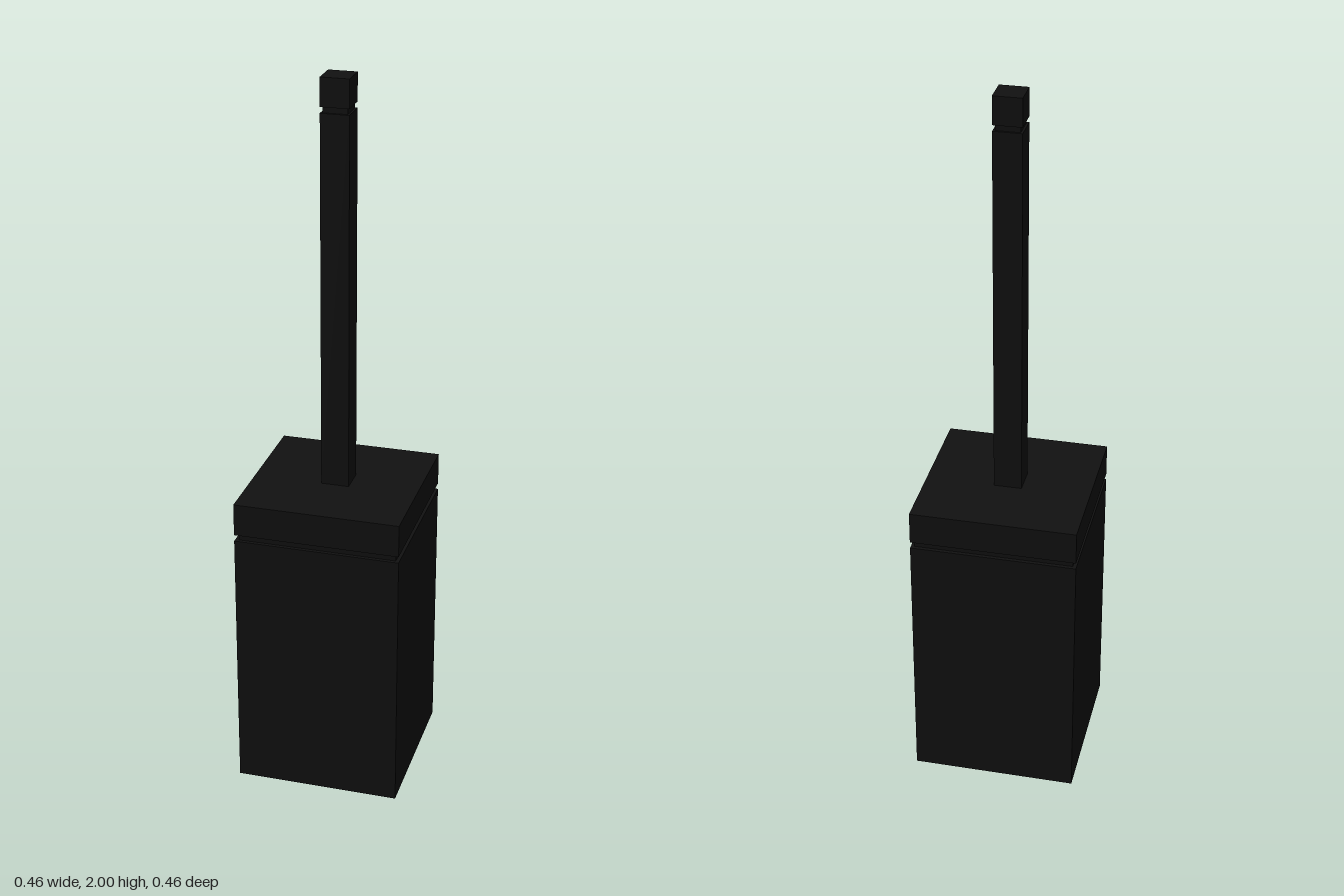
import * as THREE from 'three';

const material = new THREE.MeshStandardMaterial({ color: 0x111111 });

// Square block of the given width, spanning from y0 to y1
function block(name, width, y0, y1) {
  const mesh = new THREE.Mesh(new THREE.BoxGeometry(width, y1 - y0, width), material);
  mesh.name = name;
  mesh.position.y = (y0 + y1) / 2;
  return mesh;
}

export function createModel() {
  const model = new THREE.Group();
  model.name = 'toiletBrush';

  // Holder with a recessed joint below the lid
  const holder = new THREE.Group();
  holder.name = 'holder';
  holder.add(
    block('holderBody', 0.46, 0, 0.755),
    block('holderJoint', 0.44, 0.755, 0.773),
    block('lid', 0.46, 0.773, 0.865)
  );

  // Square handle with a narrow groove below its end cap
  const handle = new THREE.Group();
  handle.name = 'handle';
  handle.add(
    block('handleShaft', 0.078, 0.865, 1.907),
    block('handleGroove', 0.066, 1.907, 1.923),
    block('handleCap', 0.078, 1.923, 2)
  );

  model.add(holder, handle);
  return model;
}
